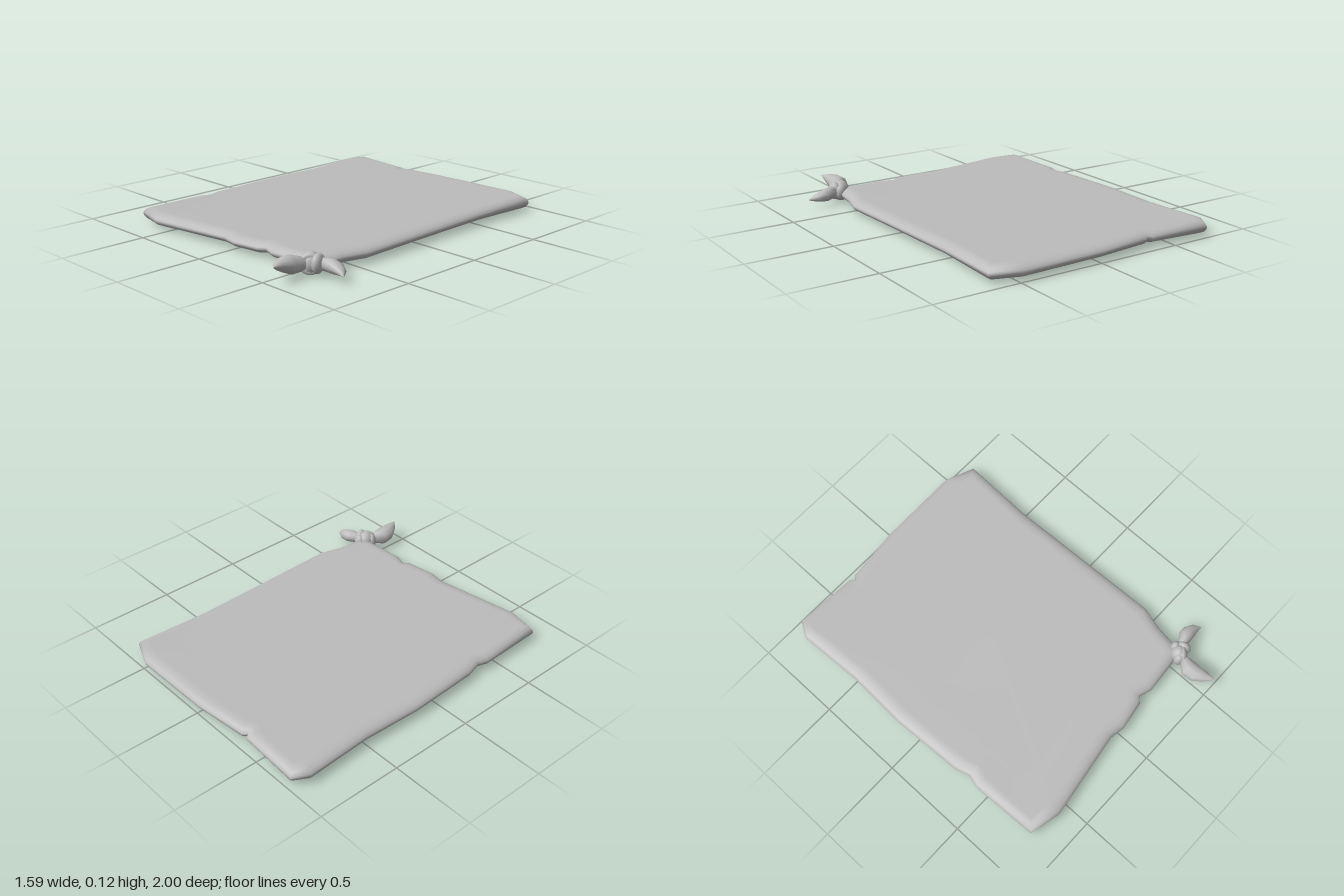
import * as THREE from 'three';

// Skin a list of closed rings (arrays of Vector3) with smooth normals.
function skin(rings) {
  const n = rings[0].length, index = [];
  for (let r = 0; r < rings.length - 1; r++) {
    for (let i = 0; i < n; i++) {
      const j = (i + 1) % n, a = r * n + i, b = r * n + j, c = a + n, d = b + n;
      index.push(a, c, b, b, c, d);
    }
  }
  const geo = new THREE.BufferGeometry().setFromPoints(rings.flat());
  geo.setIndex(index);
  geo.computeVertexNormals();
  return geo;
}

// Ragged cloth outline as [x, z], clockwise from above, with small tears.
const OUTLINE = [
  [-0.8, -0.89], [-0.745, -0.98], [-0.375, -0.96], [-0.355, -0.935], [-0.335, -0.96],
  [-0.01, -0.995], [0.48, -1], [0.645, -0.93], [0.63, -0.5], [0.645, 0], [0.657, 0.43],
  [0.62, 0.56], [0.6, 0.69], [0.56, 0.75], [0.3, 0.77], [0.23, 0.745], [0.2, 0.775],
  [0.03, 0.8], [-0.06, 0.785], [-0.575, 0.86], [-0.755, 0.815], [-0.77, 0.42],
  [-0.75, 0.36], [-0.775, 0.27], [-0.795, -0.15], [-0.78, -0.5],
];

function clothGeometry() {
  const mid = 0.049, cx = -0.07, cz = -0.08, n = OUTLINE.length;
  // Inset the outline along its vertex normals; corners are a little thicker.
  const inset = (d, dy) => OUTLINE.map(([x, z], i) => {
    const p = OUTLINE[(i + n - 1) % n], q = OUTLINE[(i + 1) % n];
    const e1 = new THREE.Vector2(x - p[0], z - p[1]).normalize();
    const e2 = new THREE.Vector2(q[0] - x, q[1] - z).normalize();
    const t = e1.add(e2).normalize();
    const swell = 1 + 0.22 * Math.min(1, (Math.abs((x - cx) * (z - cz)) / 0.6) ** 2);
    return new THREE.Vector3(x - t.y * d, mid + dy * swell, z + t.x * d);
  });
  const scaled = (s, dy) => OUTLINE.map(([x, z]) =>
    new THREE.Vector3(cx + (x - cx) * s, mid + dy, cz + (z - cz) * s));
  const edge = [[0.075, 0.032], [0.042, 0.03], [0.016, 0.021], [0.003, 0.009]];
  return skin([
    scaled(0, -0.031), scaled(0.72, -0.031),
    ...edge.map(([d, y]) => inset(d, -y)),
    inset(0, 0),
    ...edge.slice().reverse().map(([d, y]) => inset(d, y)),
    scaled(0.72, 0.031), scaled(0, 0.031),
  ]);
}

// Loose end of the knot: stations are [x, y, z, half width, half height].
function tailGeometry(stations, sides = 10) {
  const pts = stations.map(s => new THREE.Vector3(s[0], s[1], s[2]));
  const up = new THREE.Vector3(0, 1, 0);
  return skin(stations.map((s, k) => {
    const dir = pts[Math.min(k + 1, pts.length - 1)].clone().sub(pts[Math.max(k - 1, 0)]);
    dir.y = 0;
    const side = dir.normalize().cross(up);
    return Array.from({ length: sides }, (_, i) => {
      const a = i / sides * Math.PI * 2;
      return pts[k].clone().addScaledVector(side, Math.cos(a) * s[3])
        .addScaledVector(up, Math.sin(a) * s[4]);
    });
  }));
}

export function createModel() {
  const grey = new THREE.MeshStandardMaterial({ color: 0xbcbcbc });
  grey.name = 'clothGrey';
  const model = new THREE.Group();
  model.name = 'knottedCloth';
  const add = (name, geo, parent = model) => {
    const mesh = new THREE.Mesh(geo, grey);
    mesh.name = name;
    parent.add(mesh);
    return mesh;
  };

  add('cloth', clothGeometry());

  const knot = new THREE.Group();
  knot.name = 'cornerKnot';
  model.add(knot);

  // Knot body: overlapping folded lumps [x, y, z, rx, ry, rz, turn].
  const lumps = [
    [0.575, 0.061, 0.745, 0.05, 0.061, 0.05, 0.3],
    [0.55, 0.06, 0.768, 0.036, 0.05, 0.03, -0.5],
    [0.618, 0.066, 0.742, 0.03, 0.053, 0.044, 0.3],
    [0.592, 0.062, 0.705, 0.034, 0.045, 0.028, 0],
  ];
  for (const [x, y, z, rx, ry, rz, turn] of lumps) {
    const lump = add('knotFold', new THREE.SphereGeometry(1, 12, 8), knot);
    lump.position.set(x, y, z);
    lump.scale.set(rx, ry, rz);
    lump.rotation.y = turn;
  }

  // Band wrapped over the middle of the knot.
  const band = add('knotBand', new THREE.TorusGeometry(0.041, 0.019, 8, 16), knot);
  band.position.set(0.583, 0.061, 0.762);
  band.rotation.y = 0.75;

  // Two pointed loose ends.
  add('frontTail', tailGeometry([
    [0.575, 0.06, 0.77, 0.015, 0.02], [0.562, 0.065, 0.8, 0.03, 0.038],
    [0.54, 0.068, 0.85, 0.056, 0.05], [0.54, 0.075, 0.89, 0.052, 0.044],
    [0.558, 0.087, 0.945, 0.032, 0.025], [0.577, 0.096, 0.995, 0.002, 0.003],
  ]), knot);
  add('sideTail', tailGeometry([
    [0.6, 0.06, 0.745, 0.015, 0.02], [0.637, 0.064, 0.722, 0.026, 0.034],
    [0.685, 0.062, 0.706, 0.041, 0.038], [0.72, 0.057, 0.705, 0.038, 0.032],
    [0.757, 0.05, 0.714, 0.026, 0.02], [0.79, 0.039, 0.733, 0.002, 0.003],
  ]), knot);

  return model;
}
